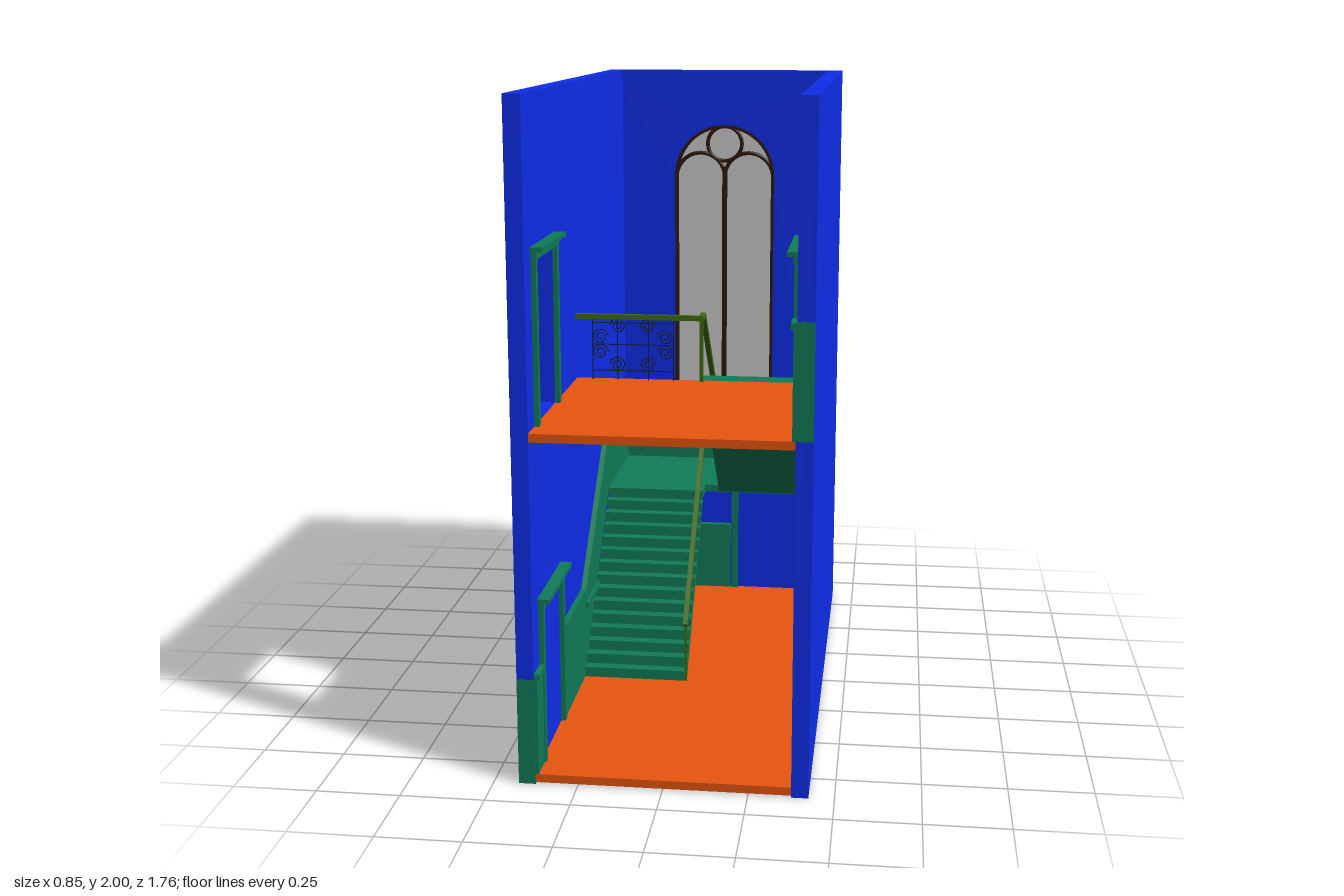
import * as THREE from 'three';

const mat = (color, side = THREE.FrontSide) => new THREE.MeshStandardMaterial({ color, side });
const BLUE = mat(0x0f2eea), GREEN = mat(0x107c57), ORANGE = mat(0xe8560f);
const OLIVE = mat(0x3f6a10), IRON = mat(0x10203a), WOOD = mat(0x2e180c);
const GLASS = mat(0xcccccc, THREE.DoubleSide);
const V = (x, y, z) => new THREE.Vector3(x, y, z);

export function createModel() {
  const root = new THREE.Group();

  const add = (name, geo, m, parent = root) => {
    const mesh = new THREE.Mesh(geo, m);
    mesh.name = name;
    parent.add(mesh);
    return mesh;
  };
  // Box given by its two extreme corners
  const box = (name, m, x0, x1, y0, y1, z0, z1, parent) => {
    const b = add(name, new THREE.BoxGeometry(x1 - x0, y1 - y0, z1 - z0), m, parent);
    b.position.set((x0 + x1) / 2, (y0 + y1) / 2, (z0 + z1) / 2);
    return b;
  };
  const polygon = (pts) => new THREE.Shape(pts.map((p) => new THREE.Vector2(p[0], p[1])));
  // Profile drawn in (z, y), extruded from x0 to x1
  const sideExtrude = (name, m, shape, x0, x1, parent) => {
    const g = new THREE.ExtrudeGeometry(shape, { depth: x1 - x0, bevelEnabled: false });
    g.rotateY(-Math.PI / 2).translate(x1, 0, 0);
    return add(name, g, m, parent);
  };
  // Square bar between two points
  const bar = (name, m, a, b, w, parent) => {
    const mesh = add(name, new THREE.BoxGeometry(w, w, a.distanceTo(b) + w * 0.8), m, parent);
    mesh.position.copy(a).add(b).multiplyScalar(0.5);
    mesh.lookAt(b);
    return mesh;
  };

  // Arched outline shared by the window opening, pane and frame
  const arch = (Type, r, bottom, spring) => {
    const s = new Type();
    s.moveTo(-r, bottom);
    s.lineTo(r, bottom);
    s.lineTo(r, spring);
    s.absarc(0, spring, r, 0, Math.PI, false);
    s.closePath();
    return s;
  };

  // Walls
  const back = polygon([[-0.425, 0], [0.425, 0], [0.425, 2], [-0.425, 2]]);
  back.holes.push(arch(THREE.Path, 0.183, 0.745, 1.62));
  add('backWall', new THREE.ExtrudeGeometry(back, { depth: 0.05, bevelEnabled: false, curveSegments: 24 }), BLUE)
    .position.z = -0.88;
  const wall = () => polygon([[-0.83, 0], [0.88, 0], [0.88, 2], [-0.83, 2]]);
  const pierced = wall();
  pierced.holes.push(polygon([[0.49, 1.06], [0.78, 1.06], [0.78, 1.545], [0.49, 1.545]]));
  sideExtrude('rightWall', BLUE, pierced, -0.425, -0.375);
  sideExtrude('leftWall', BLUE, wall(), 0.375, 0.425);

  // Floors and landing
  box('groundFloor', ORANGE, -0.375, 0.375, 0.005, 0.03, -0.83, 0.878);
  box('upperFloor', ORANGE, -0.375, 0.375, 1.035, 1.06, 0.135, 0.878);
  box('landing', GREEN, -0.375, 0.375, 0.52, 0.545, -0.83, -0.45);
  box('landingEdge', GREEN, -0.375, -0.025, 0.52, 0.545, -0.45, -0.37);

  // Stair flights with stepped top and sloping soffit
  const flight = (name, x0, x1, z0, y0, dir, run, endZ, soffit) => {
    const n = 15, rise = 0.515 / n, pts = [[z0, y0]];
    for (let i = 0; i < n; i++) {
      pts.push([z0 + dir * run * i, y0 + rise * (i + 1)]);
      pts.push([i < n - 1 ? z0 + dir * run * (i + 1) : endZ, y0 + rise * (i + 1)]);
    }
    sideExtrude(name, GREEN, polygon([...pts, ...soffit]), x0, x1);
    // Tread nosings
    for (let i = 1; i < n; i++) {
      const z = z0 + dir * run * (i - 1), y = y0 + rise * i;
      const e = z - dir * 0.005;
      box(name + 'Nosing', GREEN, x0, x1, y - 0.006, y + 0.001, Math.min(z, e), Math.max(z, e));
    }
  };
  flight('lowerFlight', -0.365, -0.025, 0.13, 0.03, -1, 0.0357, -0.372, [[-0.372, 0.52], [0.09, 0.03]]);
  flight('upperFlight', 0.025, 0.365, -0.46, 0.545, 1, 0.037, 0.137, [[0.137, 1.035], [0.08, 1.035], [-0.44, 0.525]]);

  // Side wainscot: panel under a raked top line, with a moulded cap
  const wainscot = (name, side, top, base) => {
    const g = new THREE.Group();
    g.name = name;
    root.add(g);
    const slab = (part, shape, t) =>
      sideExtrude(part, GREEN, shape, side < 0 ? -0.375 : 0.375 - t, side < 0 ? -0.375 + t : 0.375, g);
    slab('panel', polygon([...top, ...[...base].reverse()]), 0.01);
    slab('cap', polygon([...top, ...[...top].reverse().map(([z, y]) => [z, y - 0.018])]), 0.018);
  };
  wainscot('rightStairWainscot', -1,
    [[0.47, 0.34], [0.13, 0.34], [-0.37, 0.79], [-0.83, 0.79]],
    [[0.47, 0.03], [0.13, 0.03], [-0.37, 0.545], [-0.83, 0.545]]);
  wainscot('leftStairWainscot', 1,
    [[0.47, 1.39], [0.14, 1.39], [-0.46, 0.79], [-0.83, 0.79]],
    [[0.47, 1.06], [0.14, 1.06], [-0.46, 0.545], [-0.83, 0.545]]);
  wainscot('rightFrontWainscot', -1, [[0.878, 0.34], [0.79, 0.34]], [[0.878, 0.03], [0.79, 0.03]]);
  wainscot('leftFrontWainscot', 1, [[0.878, 1.39], [0.79, 1.39]], [[0.878, 1.06], [0.79, 1.06]]);
  for (const s of [-1, 1])
    wainscot('underLandingWainscot', s, [[s < 0 ? 0.1 : 0.47, 0.28], [-0.83, 0.28]], [[s < 0 ? 0.1 : 0.47, 0.03], [-0.83, 0.03]]);
  // Green returns on the front ends of the walls
  box('rightWallReturn', GREEN, -0.4249, -0.375, 0.001, 0.325, 0.86, 0.881);
  box('leftWallReturn', GREEN, 0.375, 0.4249, 1.06, 1.395, 0.86, 0.881);

  // Back wainscot, broken by the window on the landing
  box('backLowerPanel', GREEN, -0.375, 0.03, 0.03, 0.27, -0.83, -0.82);
  box('backLowerCap', GREEN, -0.375, 0.03, 0.27, 0.285, -0.83, -0.805);
  box('backLandingPanel', GREEN, -0.375, 0.375, 0.545, 0.743, -0.83, -0.82);
  for (const s of [-1, 1]) {
    const a = s < 0 ? -0.375 : 0.185, b = a + 0.19;
    box('backSidePanel', GREEN, a, b, 0.743, 0.775, -0.83, -0.82);
    box('backCap', GREEN, a, b, 0.775, 0.79, -0.83, -0.805);
  }

  // Door surround standing on its own origin, facing +z
  const surround = (name, w, h) => {
    const g = new THREE.Group();
    g.name = name;
    for (const s of [-1, 1])
      box('jamb', GREEN, s * (w / 2 - 0.012) - 0.012, s * (w / 2 - 0.012) + 0.012, 0, h - 0.03, 0, 0.015, g);
    box('head', GREEN, -w / 2, w / 2, h - 0.035, h - 0.012, 0, 0.018, g);
    box('cornice', GREEN, -w / 2 - 0.01, w / 2 + 0.01, h - 0.014, h, 0, 0.035, g);
    root.add(g);
    return g;
  };
  for (const [name, s, y] of [['rightGroundDoor', -1, 0.03], ['rightUpperDoor', -1, 1.06], ['leftUpperDoor', 1, 1.06]]) {
    const g = surround(name, 0.325, 0.515);
    g.position.set(s * 0.375, y, 0.633);
    g.rotation.y = -s * Math.PI / 2;
  }
  surround('backDoor', 0.325, 0.49).position.set(0.197, 0.03, -0.83);

  // Window pane and tracery
  const win = new THREE.Group();
  win.name = 'window';
  root.add(win);
  add('pane', new THREE.ShapeGeometry(arch(THREE.Shape, 0.183, 0.745, 1.62), 24), GLASS, win).position.z = -0.865;
  const frame = arch(THREE.Shape, 0.183, 0.745, 1.62);
  frame.holes.push(arch(THREE.Path, 0.172, 0.756, 1.62));
  add('outerFrame', new THREE.ExtrudeGeometry(frame, { depth: 0.03, bevelEnabled: false, curveSegments: 24 }), WOOD, win)
    .position.z = -0.862;
  box('mullion', WOOD, -0.008, 0.008, 0.75, 1.65, -0.862, -0.835, win);
  const ring = (name, x, y, r, arc) =>
    add(name, new THREE.TorusGeometry(r, 0.007, 8, 32, arc), WOOD, win).position.set(x, y, -0.848);
  for (const s of [-1, 1]) ring('lancetArch', s * 0.089, 1.612, 0.089, Math.PI);
  ring('roundLight', 0, 1.735, 0.063, Math.PI * 2);

  // Handrail running up both flights and along the balcony
  const rail = new THREE.Group();
  rail.name = 'handrail';
  root.add(rail);
  const path = [V(-0.37, 1.265, 0.153), V(0.03, 1.265, 0.153), V(0.03, 1.265, 0.1), V(0.03, 0.755, -0.45),
    V(0.03, 0.755, -0.49), V(-0.025, 0.755, -0.49), V(-0.025, 0.755, -0.38), V(-0.025, 0.235, 0.14)];
  for (let i = 1; i < path.length; i++) bar('railBar', OLIVE, path[i - 1], path[i], 0.016, rail);
  bar('balconyNewel', OLIVE, V(0.03, 1.06, 0.153), V(0.03, 1.26, 0.153), 0.012, rail);
  bar('footNewel', OLIVE, V(-0.025, 0.035, 0.13), V(-0.025, 0.235, 0.13), 0.008, rail);

  // Iron balcony panel with scrolls
  const iron = new THREE.Group();
  iron.name = 'balconyIronwork';
  root.add(iron);
  const z = 0.153;
  for (const y of [1.09, 1.175, 1.245]) bar('crossBar', IRON, V(-0.32, y, z), V(-0.06, y, z), 0.003, iron);
  for (const x of [-0.32, -0.24, -0.14, -0.06]) bar('upright', IRON, V(x, 1.06, z), V(x, 1.26, z), 0.003, iron);
  const scroll = (x, y, flip) => {
    const pts = [];
    for (let i = 0; i <= 20; i++) {
      const a = i * 0.6, r = 0.026 - i * 0.001;
      pts.push(V(x + flip * r * Math.cos(a), y + r * Math.sin(a), z));
    }
    add('scroll', new THREE.TubeGeometry(new THREE.CatmullRomCurve3(pts), 50, 0.002, 5), IRON, iron);
  };
  for (const s of [-1, 1]) {
    for (const y of [1.11, 1.235]) scroll(-0.19 + s * 0.048, y, s);
    for (const y of [1.15, 1.2]) scroll(-0.19 + s * 0.105, y, -s);
  }
  return root;
}
